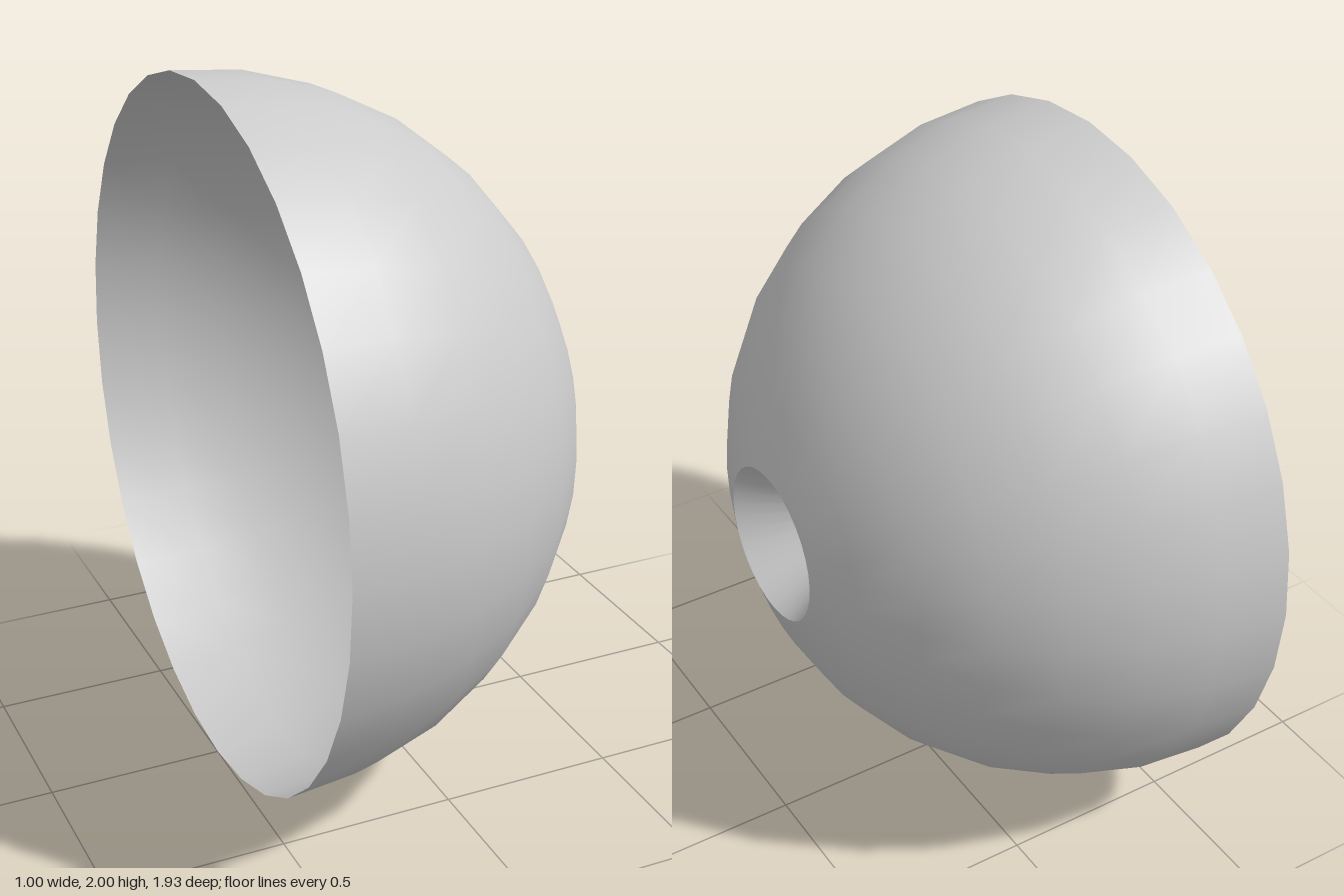
import * as THREE from 'three';

const SEGMENTS = 32;   // facets around the axis
const DEPTH = 1.02;    // pole distance of the full dome
const HOLE_RADIUS = 0.225;
const APEX_X = 0.15;   // tip of the conical recess

// Revolve an (radius, x) profile around the x axis
function revolve(name, profile, material) {
  const geometry = new THREE.LatheGeometry(profile, SEGMENTS);
  geometry.rotateZ(-Math.PI / 2);
  geometry.scale(1, 1, 0.965);
  const mesh = new THREE.Mesh(geometry, material);
  mesh.name = name;
  return mesh;
}

export function createModel() {
  const group = new THREE.Group();
  group.name = 'hollowDome';
  const material = new THREE.MeshStandardMaterial({ color: 0xcccccc, side: THREE.DoubleSide });

  // Thin open shell: rim at x = -0.5, latitude rings up to the hole
  const shell = [];
  for (let i = 0; i <= 7; i++) {
    const a = (i * Math.PI) / 16;
    shell.push(new THREE.Vector2(i === 7 ? HOLE_RADIUS : Math.cos(a), -0.5 + DEPTH * Math.sin(a)));
  }
  const rim = shell[7];
  const dome = revolve('domeShell', shell, material);

  // Conical recess sunk into the pole
  const recess = revolve('conicalRecess', [rim.clone(), new THREE.Vector2(0, APEX_X)], material);

  for (const part of [dome, recess]) {
    part.position.y = 1;
    group.add(part);
  }
  return group;
}
